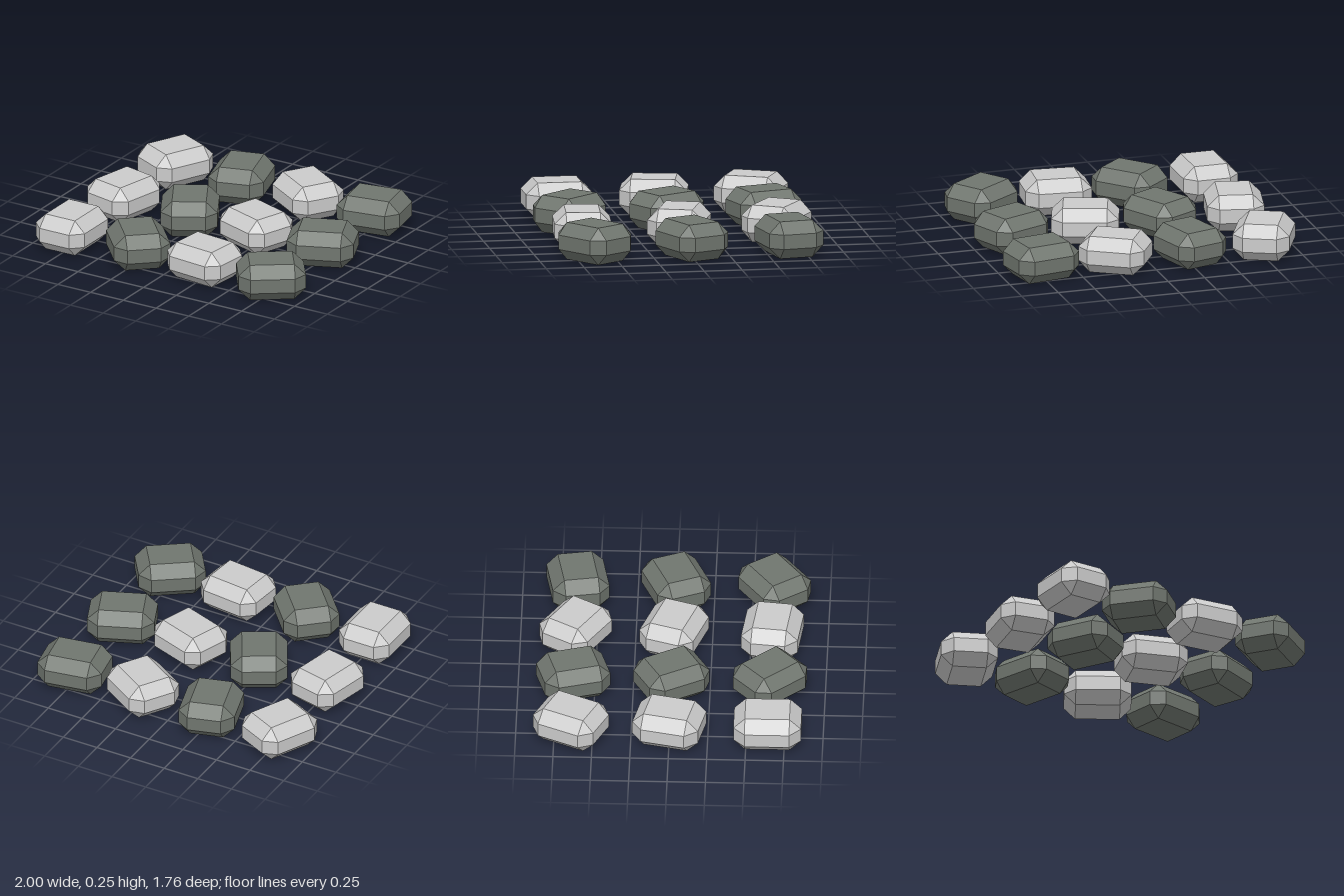
import * as THREE from 'three';
import { ConvexGeometry } from 'three/addons/geometries/ConvexGeometry.js';

// Box with all edges chamfered and triangular corners, centred on the origin.
function chamferedBox(width, height, depth, c) {
  const [x, y, z] = [width / 2, height / 2, depth / 2];
  const points = [];
  for (const sx of [-1, 1]) for (const sy of [-1, 1]) for (const sz of [-1, 1]) {
    points.push(
      new THREE.Vector3(sx * x, sy * (y - c), sz * (z - c)),
      new THREE.Vector3(sx * (x - c), sy * y, sz * (z - c)),
      new THREE.Vector3(sx * (x - c), sy * (y - c), sz * z)
    );
  }
  return new ConvexGeometry(points);
}

export function createModel() {
  const model = new THREE.Group();
  model.name = 'cobblestones';

  const height = 0.245;
  const geometry = chamferedBox(0.373, height, 0.44, 0.075);
  const light = new THREE.MeshStandardMaterial({ color: 0xcccccc, flatShading: true });
  const dark = new THREE.MeshStandardMaterial({ color: 0x70766f, flatShading: true });

  // Three rows of four stones, each turned a little further than the last
  for (let row = 0; row < 3; row++) {
    for (let col = 0; col < 4; col++) {
      const isDark = col % 2 === 1;
      const stone = new THREE.Mesh(geometry, isDark ? dark : light);
      stone.name = isDark ? 'darkStone' : 'lightStone';
      stone.position.set(-0.769 + col * 0.507, height / 2, 0.64 - row * 0.64);
      stone.rotation.y = (row * 4 + col) * 0.73;
      model.add(stone);
    }
  }
  return model;
}
